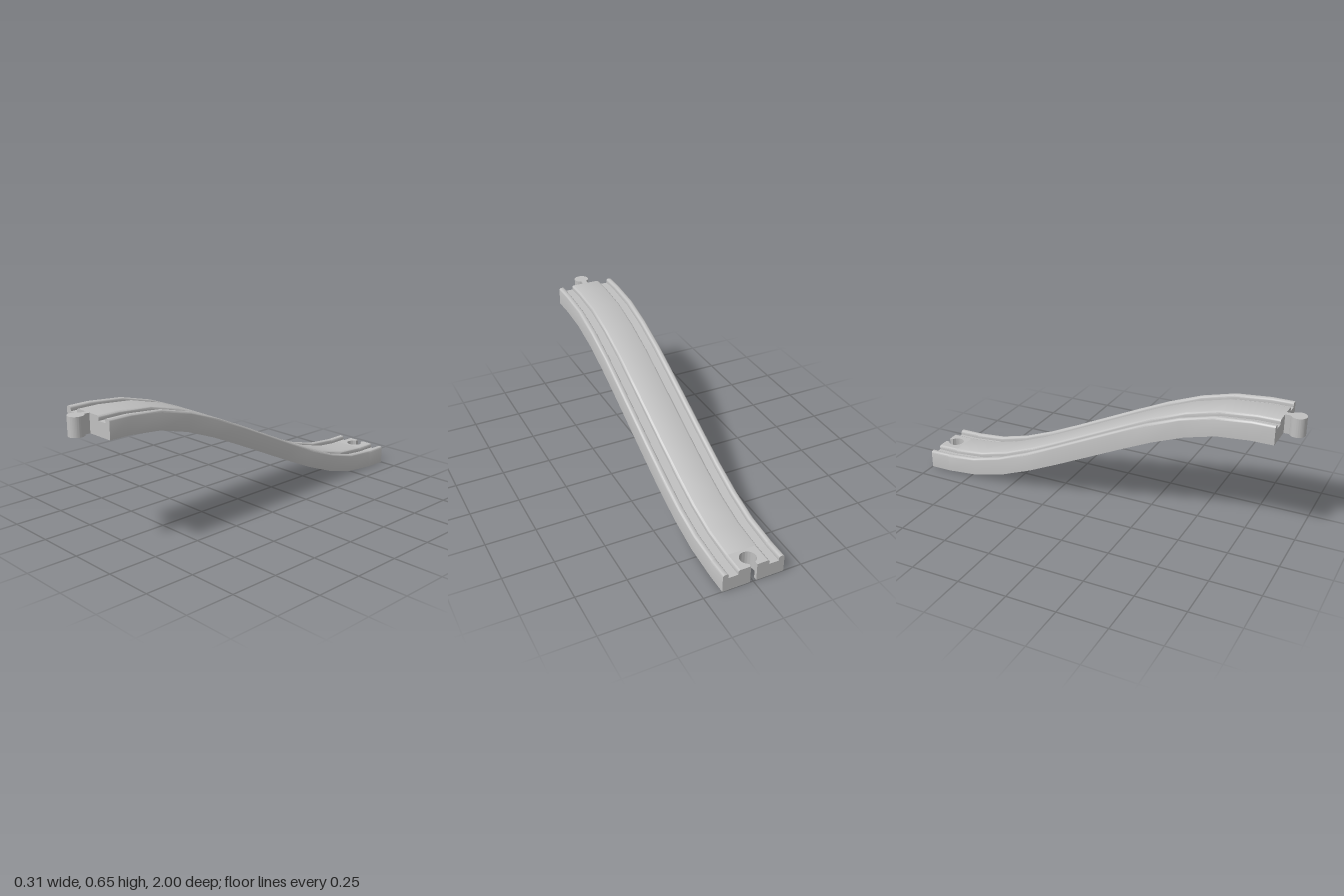
import * as THREE from 'three';
import { toCreasedNormals } from 'three/addons/utils/BufferGeometryUtils.js';

const T = 0.093;        // board thickness
const GROOVE = 0.07;    // height of the groove floor
const R = 0.01;         // edge rounding
const RISE = 0.555;     // height gained from back to front
const CREASE = 0.65;

// centre line, as [distance from the middle, height from the middle]
const HALF_PATH = [[0.17, 0.08], [0.34, 0.157], [0.505, 0.22], [0.67, 0.2625], [0.84, 0.2775]];
const PATH = [
  ...HALF_PATH.map(([u, h]) => [-u, -h]).reverse(), [0, 0], ...HALF_PATH, [0.95, 0.2775],
].map(([u, h]) => [u - 0.05, h + RISE / 2 + T / 2]);
const END_PATH = [[-1, T / 2], [-0.89, T / 2]];

const v2 = (x, y) => new THREE.Vector2(x, y);

// quarter round from angle a0 to a1, in degrees
function round(cx, a0, a1) {
  return [0, 1, 2, 3].map((i) => {
    const a = THREE.MathUtils.degToRad(a0 + ((a1 - a0) * i) / 3);
    return v2(cx + R * Math.cos(a), T - R + R * Math.sin(a));
  });
}

// right half of the cross-section, from the middle deck outwards
const HALF = [
  ...round(0.07, 90, 0), v2(0.08, GROOVE), v2(0.128, GROOVE),
  ...round(0.138, 180, 90), ...round(0.147, 90, 0), v2(0.157, 0),
];
const mirror = (pts) => pts.map((p) => v2(-p.x, p.y)).reverse();

// extrude a cross-section in steps, then bend it along the centre line
function sweep(points, path) {
  const n = path.length - 1;
  const geo = new THREE.ExtrudeGeometry(new THREE.Shape(points), { depth: n, steps: n, bevelEnabled: false });
  const pos = geo.attributes.position;
  for (let i = 0; i < pos.count; i++) {
    const k = Math.round(pos.getZ(i));
    const v = pos.getY(i) - T / 2;
    const a = path[Math.max(k - 1, 0)], b = path[Math.min(k + 1, n)];
    // both ends stay level
    const slope = k === 0 || k === n ? 0 : Math.atan2(b[1] - a[1], b[0] - a[0]);
    const tilt = k === 0 || k >= n - 1 ? 0 : slope;
    pos.setY(i, path[k][1] + v * Math.cos(tilt));
    pos.setZ(i, path[k][0] - v * Math.sin(tilt));
  }
  return toCreasedNormals(geo, CREASE);
}

// extrude a plan outline (x, -z) upwards from a given height
function plan(shape, y) {
  const geo = new THREE.ExtrudeGeometry(shape, { depth: T, bevelEnabled: false, curveSegments: 32 });
  geo.rotateX(-Math.PI / 2).translate(0, y, 0);
  return toCreasedNormals(geo, CREASE);
}

export function createModel() {
  const group = new THREE.Group();
  const grey = new THREE.MeshStandardMaterial({ color: 0xc0c0c0 });
  grey.name = 'light grey';
  const add = (name, geo) => {
    const mesh = new THREE.Mesh(geo, grey);
    mesh.name = name;
    group.add(mesh);
  };

  // curved grooved board
  add('slopedTrack', sweep([...HALF, ...mirror(HALF)], PATH));

  // level rails on both sides of the socket
  const rail = [v2(0.07, 0), ...HALF];
  add('leftEndRail', sweep(rail, END_PATH));
  add('rightEndRail', sweep(mirror(rail), END_PATH));

  // keyhole socket at the low end
  const a = Math.acos(0.016 / 0.04);
  const socket = new THREE.Shape();
  socket.moveTo(-0.07, 0.89);
  socket.lineTo(0.07, 0.89);
  socket.lineTo(0.07, 1);
  socket.lineTo(0.016, 1);
  socket.absarc(0, 0.945, 0.04, a, Math.PI - a, true);
  socket.lineTo(-0.016, 1);
  socket.lineTo(-0.07, 1);
  socket.closePath();
  add('socketDeck', plan(socket, 0));

  // round peg on a narrow neck at the high end
  const b = Math.acos(0.014 / 0.038);
  const peg = new THREE.Shape();
  peg.moveTo(0.014, -0.9);
  peg.lineTo(-0.014, -0.9);
  peg.absarc(0, -0.962, 0.038, Math.PI - b, b, false);
  peg.closePath();
  add('connectorPeg', plan(peg, RISE));

  return group;
}
